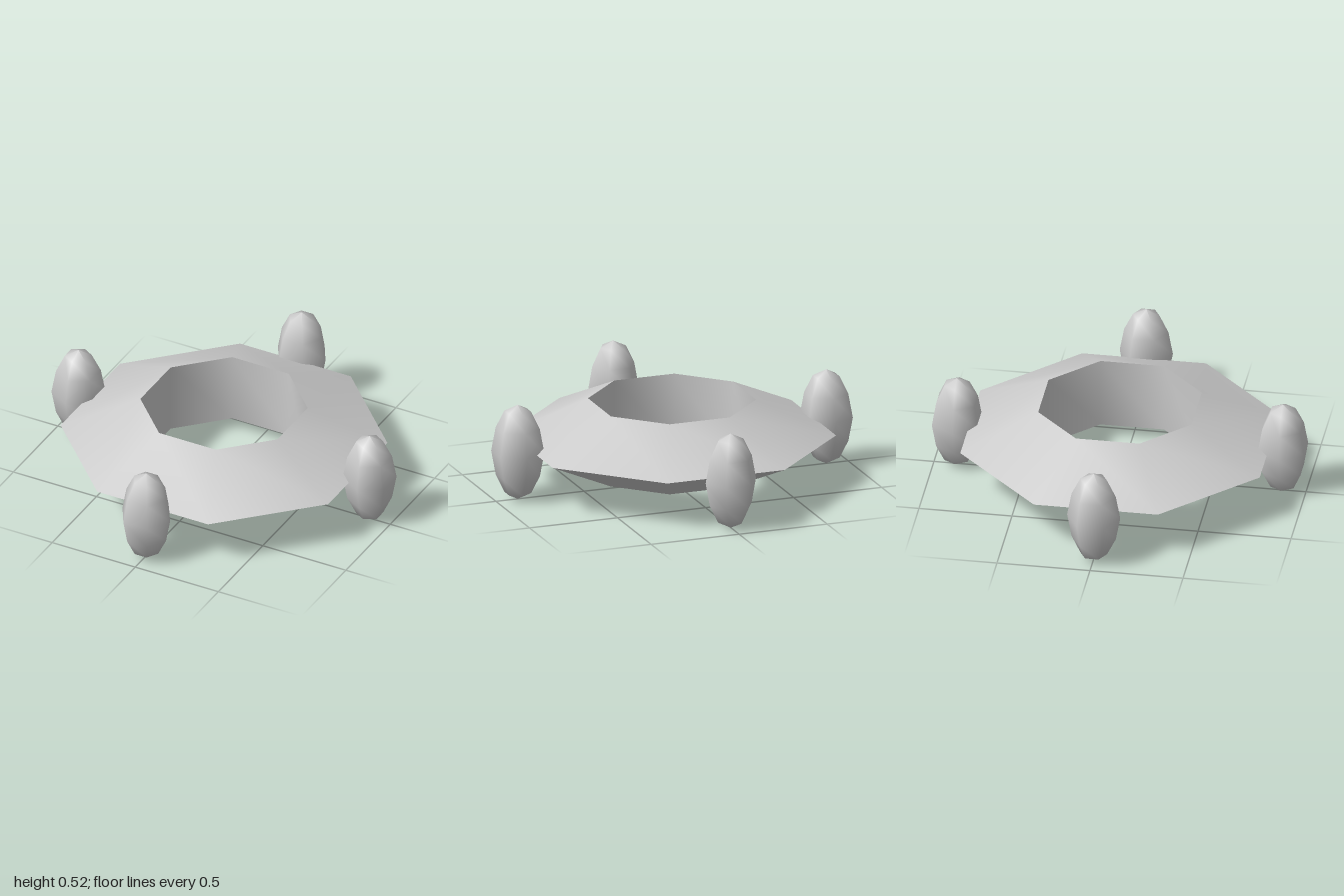
import * as THREE from 'three';
import { toCreasedNormals } from 'three/addons/utils/BufferGeometryUtils.js';

const MID = 0.265; // height of the ring's outer edge and the pod centres

const profile = (pairs) => pairs.map(([r, y]) => new THREE.Vector2(r, y));

export function createModel() {
  const model = new THREE.Group();
  const material = new THREE.MeshStandardMaterial({ color: 0xcccccc });

  // Octagonal ring with a triangular section: upright inside, sharp outside
  const inner = 0.446, outer = 0.871, half = 0.195;
  const section = profile([[inner, -half], [outer, 0], [inner, half], [inner, -half]]);
  const ringGeometry = new THREE.LatheGeometry(section, 8, Math.PI / 8);
  const ring = new THREE.Mesh(toCreasedNormals(ringGeometry, 1.2), material);
  ring.name = 'ring';
  ring.position.y = MID;
  model.add(ring);

  // Four tall six-sided pods around the outer edge
  const podGeometry = new THREE.LatheGeometry(profile([
    [0, -0.262], [0.072, -0.226], [0.119, -0.13], [0.143, 0],
    [0.119, 0.13], [0.072, 0.226], [0, 0.262],
  ]), 6);
  const names = ['leftPod', 'backPod', 'rightPod', 'frontPod'];
  names.forEach((name, i) => {
    const angle = i * Math.PI / 2;
    const pod = new THREE.Mesh(podGeometry, material);
    pod.name = name;
    pod.position.set(0.876 * Math.cos(angle), MID, -0.876 * Math.sin(angle));
    pod.rotation.y = angle;
    model.add(pod);
  });

  return model;
}
